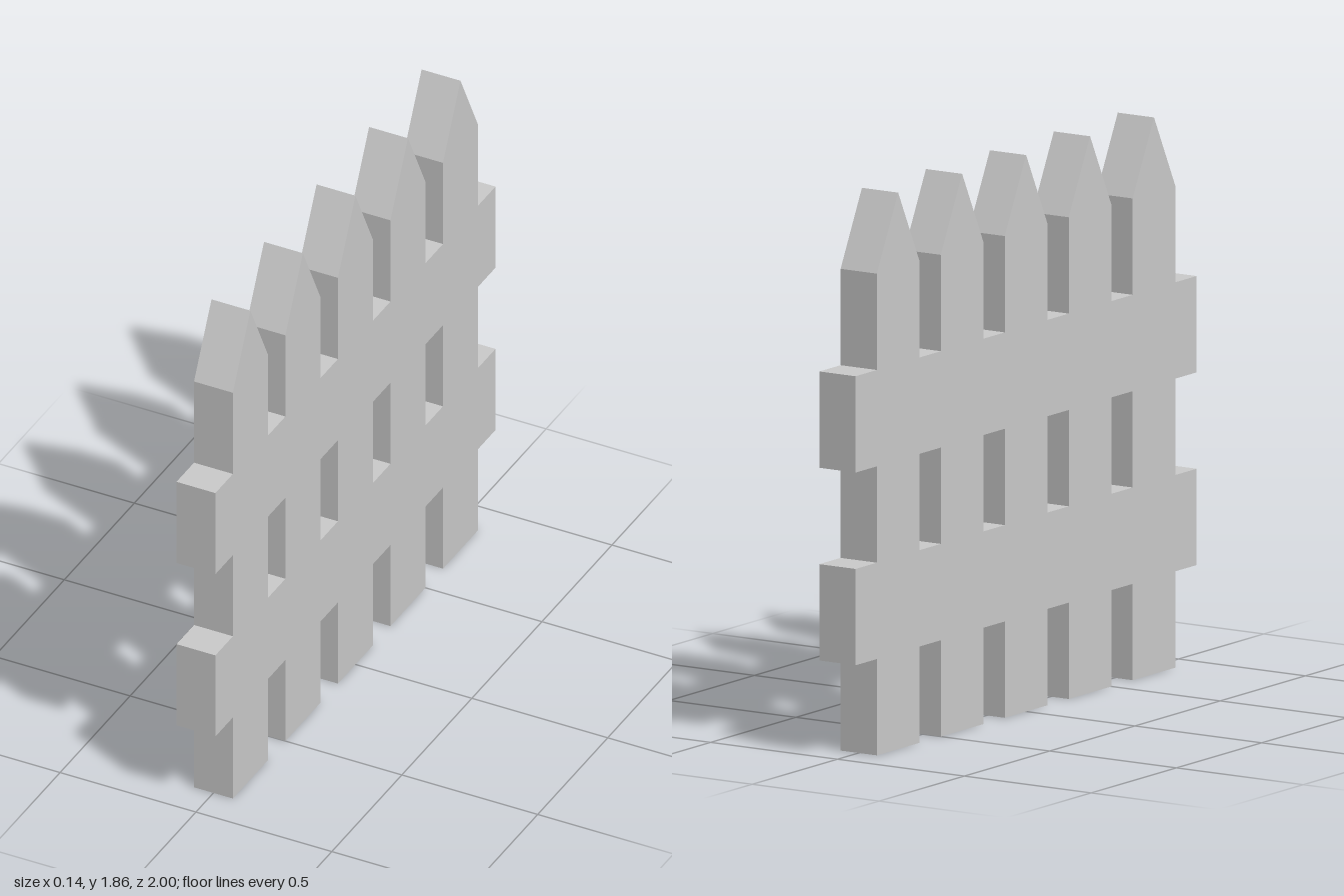
import * as THREE from 'three';

const THICKNESS = 0.143;
const HALF_LENGTH = 1;
const HALF_PICKET = 0.125;
const STEP = 0.3215; // height of each rail and of each gap between rails
const SHOULDER = STEP * 5;
const PEAK = 1.857;
const PICKETS = [-0.75, -0.375, 0, 0.375, 0.75];

// Outline of the whole panel: rails and pickets are flush, so they share one face
function panelShape() {
  const pts = [];
  const add = (u, y) => pts.push(new THREE.Vector2(u, y));
  const first = PICKETS[0] - HALF_PICKET;
  const last = PICKETS[PICKETS.length - 1] + HALF_PICKET;

  // Feet, left to right, with the lower rail's underside between them
  PICKETS.forEach((c) => {
    add(c - HALF_PICKET, STEP);
    add(c - HALF_PICKET, 0);
    add(c + HALF_PICKET, 0);
    add(c + HALF_PICKET, STEP);
  });

  // Rail ends on the far side, going up
  add(HALF_LENGTH, STEP);
  add(HALF_LENGTH, STEP * 2);
  add(last, STEP * 2);
  add(last, STEP * 3);
  add(HALF_LENGTH, STEP * 3);
  add(HALF_LENGTH, STEP * 4);

  // Pointed tops, right to left, with the upper rail's top edge between them
  [...PICKETS].reverse().forEach((c) => {
    add(c + HALF_PICKET, STEP * 4);
    add(c + HALF_PICKET, SHOULDER);
    add(c, PEAK);
    add(c - HALF_PICKET, SHOULDER);
    add(c - HALF_PICKET, STEP * 4);
  });

  // Rail ends on the near side, going down
  add(-HALF_LENGTH, STEP * 4);
  add(-HALF_LENGTH, STEP * 3);
  add(first, STEP * 3);
  add(first, STEP * 2);
  add(-HALF_LENGTH, STEP * 2);
  add(-HALF_LENGTH, STEP);

  // Openings between the two rails
  const shape = new THREE.Shape(pts);
  for (let i = 0; i < PICKETS.length - 1; i++) {
    const a = PICKETS[i] + HALF_PICKET;
    const b = PICKETS[i + 1] - HALF_PICKET;
    shape.holes.push(new THREE.Path([
      new THREE.Vector2(a, STEP * 2),
      new THREE.Vector2(a, STEP * 3),
      new THREE.Vector2(b, STEP * 3),
      new THREE.Vector2(b, STEP * 2),
    ]));
  }
  return shape;
}

export function createModel() {
  const group = new THREE.Group();
  group.name = 'picketFence';

  // Extrude the panel and turn it so its length runs along z
  const geometry = new THREE.ExtrudeGeometry(panelShape(), { depth: THICKNESS, bevelEnabled: false });
  geometry.translate(0, 0, -THICKNESS / 2);
  geometry.rotateY(Math.PI / 2);

  const material = new THREE.MeshStandardMaterial({ color: 0xcccccc, flatShading: true });
  const panel = new THREE.Mesh(geometry, material);
  panel.name = 'fencePanel';
  group.add(panel);
  return group;
}
